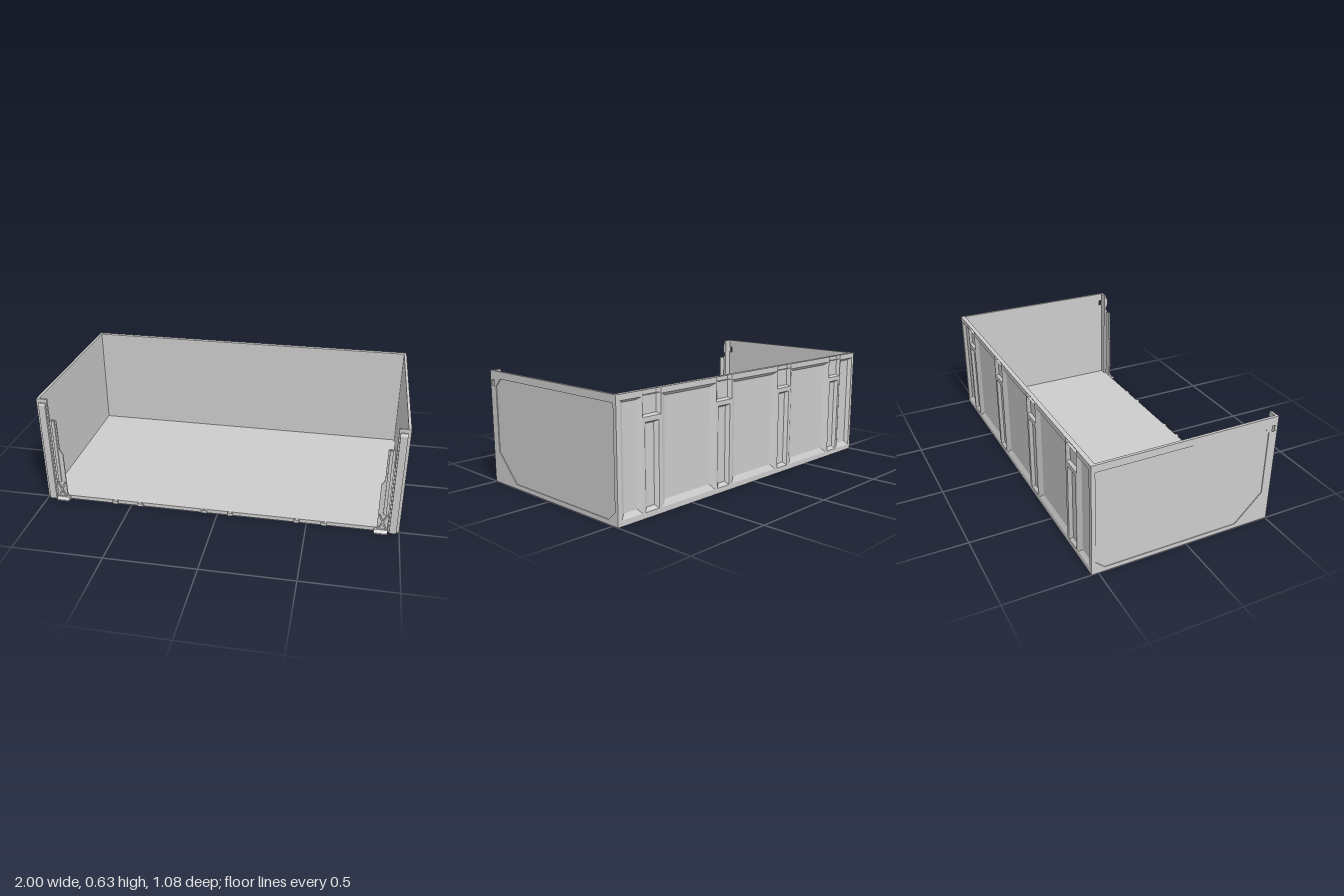
import * as THREE from 'three';

const grey = new THREE.MeshStandardMaterial({ color: 0xcccccc, flatShading: true });
const thin = new THREE.MeshStandardMaterial({ color: 0xcccccc, flatShading: true, side: THREE.DoubleSide });

function add(parent, name, geometry, material = grey) {
  const mesh = new THREE.Mesh(geometry, material);
  mesh.name = name;
  parent.add(mesh);
  return mesh;
}

// Box given by its two opposite corners
function box(parent, name, x0, x1, y0, y1, z0, z1) {
  const g = new THREE.BoxGeometry(x1 - x0, y1 - y0, z1 - z0);
  return add(parent, name, g.translate((x0 + x1) / 2, (y0 + y1) / 2, (z0 + z1) / 2));
}

const vectors = (pts) => pts.map(([a, b]) => new THREE.Vector2(a, b));
const rect = (a0, a1, b0, b1) => [[a0, b0], [a1, b0], [a1, b1], [a0, b1]];

function outline(pts, holes = []) {
  const shape = new THREE.Shape(vectors(pts));
  holes.forEach((h) => shape.holes.push(new THREE.Path(vectors(h))));
  return shape;
}

const extrude = (shape, depth) => new THREE.ExtrudeGeometry(shape, { depth, bevelEnabled: false });

// Plate drawn in (z, y) and extruded along x
function sidePlate(pts, holes, x0, x1) {
  const flip = (list) => list.map(([z, y]) => [-z, y]);
  const g = extrude(outline(flip(pts), holes.map(flip)), x1 - x0);
  return g.rotateY(Math.PI / 2).translate(x0, 0, 0);
}

// Sloping sides between two outlines at different depths
function slopedSides(outer, inner, zOuter, zInner) {
  const pos = [], index = [];
  const n = outer.length;
  outer.forEach(([x, y], i) => {
    pos.push(x, y, zOuter, inner[i][0], inner[i][1], zInner);
    const a = 2 * i, b = 2 * ((i + 1) % n);
    index.push(a, a + 1, b, b, a + 1, b + 1);
  });
  const g = new THREE.BufferGeometry();
  g.setAttribute('position', new THREE.Float32BufferAttribute(pos, 3));
  g.setIndex(index);
  const flat = g.toNonIndexed();
  flat.computeVertexNormals();
  return flat;
}

const H = 0.63, BACK = -0.537, PANEL = -0.522;

// One side wall with its front post and latch, built at +x
function buildSide() {
  const side = new THREE.Group();
  const slot = rect(0.472, 0.49, 0.545, 0.58);
  const panel = [[0.455, 0.18], [0.3, 0.025], [-0.465, 0.025], [-0.515, 0.07],
    [-0.515, 0.59], [0.41, 0.59], [0.455, 0.545]];
  const wall = rect(BACK + 0.001, 0.505, 0, H);
  add(side, 'sideWall', sidePlate(wall, [slot], 0.985, 0.996));
  add(side, 'sideFrame', sidePlate(wall, [slot, panel], 0.996, 1));

  // Front post
  box(side, 'postFlange', 0.94, 0.999, 0, H, 0.492, 0.505);
  add(side, 'postBar', sidePlate(
    [[0.5, 0], [0.519, 0], [0.519, 0.595], [0.512, 0.608], [0.5, 0.608]],
    [rect(0.508, 0.516, 0.515, 0.54)], 0.947, 0.985));

  // Latch standing at the front edge
  const latch = new THREE.Group();
  latch.name = 'latch';
  side.add(latch);
  add(latch, 'latchPlate', extrude(outline([[0.88, 0.11], [0.935, 0.11], [0.935, 0.5],
    [0.928, 0.51], [0.902, 0.51], [0.897, 0.5], [0.897, 0.325], [0.88, 0.295]]), 0.008)
    .translate(0, 0, 0.505));
  box(latch, 'latchRib', 0.905, 0.922, 0.12, 0.505, 0.512, 0.52);
  box(latch, 'latchBasePlate', 0.88, 0.937, 0, 0.115, 0.504, 0.512);
  for (const s of [-1, 1]) {
    const bar = box(latch, 'latchCrossBar', -0.004, 0.004, -0.052, 0.052, -0.004, 0.004);
    bar.position.set(0.908, 0.065, 0.515);
    bar.rotation.z = s * 0.42;
  }
  add(latch, 'latchFoot', sidePlate(
    [[0.5, 0], [0.538, 0], [0.538, 0.007], [0.522, 0.02], [0.5, 0.02]], [], 0.865, 0.937));
  return side;
}

export function createModel() {
  const model = new THREE.Group();
  model.name = 'openTray';

  // Floor with small tabs on the front edge
  box(model, 'floor', -0.99, 0.99, 0, 0.022, PANEL, 0.504);
  for (const s of [-1, 1]) {
    for (const x of [0.075, 0.445, 0.595]) {
      box(model, 'frontTab', s * x - 0.016, s * x + 0.016, 0.002, 0.02, 0.5, 0.515);
    }
  }

  // Mirrored sides
  const left = buildSide();
  left.name = 'leftSide';
  const right = buildSide();
  right.name = 'rightSide';
  right.scale.x = -1;
  model.add(left, right);

  // Back wall: flat inner slab
  const back = new THREE.Group();
  back.name = 'backWall';
  model.add(back);
  box(back, 'backSlab', -0.99, 0.99, 0, H, PANEL, -0.512);

  // Bevelled recesses: three wide, two narrow at the ends, four short below the notches
  const notchX = [-0.78, -0.26, 0.26, 0.78];
  const recesses = [
    ...[-0.52, 0, 0.52].map((x) => [x - 0.193, x + 0.193, 0.03, 0.6, 0.032]),
    ...[-0.91, 0.91].map((x) => [x - 0.067, x + 0.067, 0.03, 0.6, 0.025]),
    ...notchX.map((x) => [x - 0.046, x + 0.046, 0.03, 0.475, 0.02]),
  ];
  for (const [x0, x1, y0, y1, b] of recesses) {
    add(back, 'recessBevel', slopedSides(rect(x0, x1, y0, y1),
      rect(x0 + b, x1 - b, y0 + b, y1 - b / 2), BACK, PANEL), thin);
  }

  // Notches open at the top edge
  const face = [[-0.999, 0], [0.999, 0], [0.999, H]];
  const rail = [[-0.99, -PANEL], [-0.99, -BACK]];
  for (const x of notchX) {
    add(back, 'notchBevel', slopedSides(rect(x - 0.06, x + 0.06, 0.5, H),
      rect(x - 0.042, x + 0.042, 0.51, H), BACK, PANEL), thin);
    rail.push([x - 0.06, -BACK], [x - 0.042, -PANEL - 0.0005],
      [x + 0.042, -PANEL - 0.0005], [x + 0.06, -BACK]);
  }
  for (const x of [...notchX].reverse()) {
    face.push([x + 0.06, H], [x + 0.06, 0.5], [x - 0.06, 0.5], [x - 0.06, H]);
  }
  face.push([-0.999, H]);
  rail.push([0.99, -BACK], [0.99, -PANEL]);

  // Outer rib face, top rail and bottom rail
  const holes = recesses.map(([x0, x1, y0, y1]) => rect(x0, x1, y0, y1));
  add(back, 'ribFace', new THREE.ShapeGeometry(outline(face, holes)).translate(0, 0, BACK), thin);
  add(back, 'topRail', extrude(outline(rail), 0.025).rotateX(-Math.PI / 2)
    .translate(0, H - 0.025, 0), thin);
  box(back, 'bottomRail', -0.99, 0.99, 0, 0.025, BACK + 0.0005, PANEL);
  return model;
}
